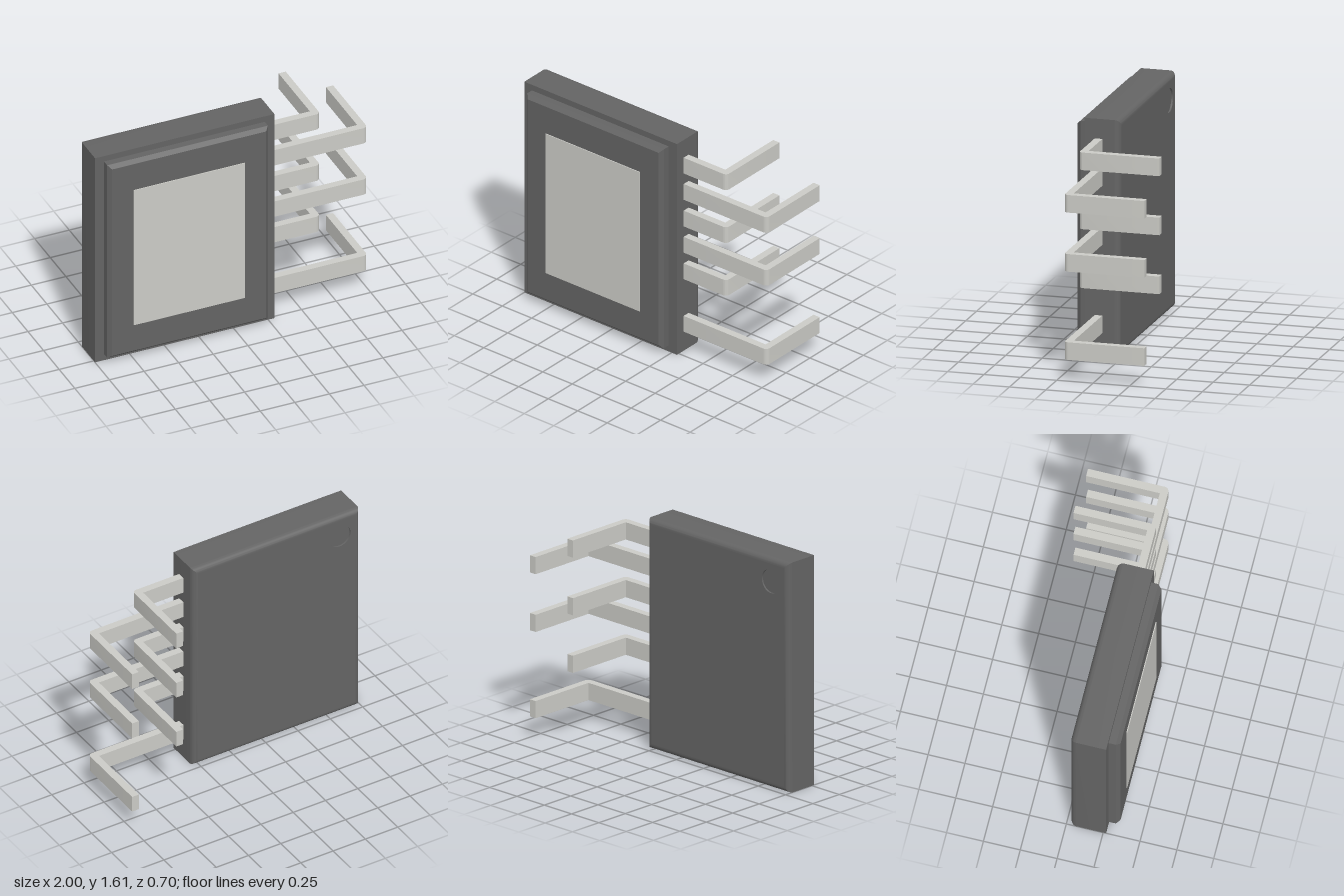
import * as THREE from 'three';
import { toCreasedNormals } from 'three/addons/utils/BufferGeometryUtils.js';

const plastic = new THREE.MeshStandardMaterial({ color: 0x646464 });
const plasticThin = new THREE.MeshStandardMaterial({ color: 0x646464, side: THREE.DoubleSide });
const metal = new THREE.MeshStandardMaterial({ color: 0xcbcbc6 });

// Block made of rectangular rings [inset, z], ordered front to back, with a front cap
function ringBlock(x0, x1, y0, y1, rings) {
  const pos = [];
  const idx = [0, 1, 2, 0, 2, 3];
  rings.forEach(([d, z], i) => {
    pos.push(x0 + d, y0 + d, z, x1 - d, y0 + d, z, x1 - d, y1 - d, z, x0 + d, y1 - d, z);
    if (i === rings.length - 1) return;
    for (let k = 0; k < 4; k++) {
      const a = i * 4 + k, b = i * 4 + (k + 1) % 4;
      idx.push(a, a + 4, b, b, a + 4, b + 4);
    }
  });
  const g = new THREE.BufferGeometry();
  g.setAttribute('position', new THREE.Float32BufferAttribute(pos, 3));
  g.setIndex(idx);
  return toCreasedNormals(g, 0.5);
}

// Bent pin: runs out along +x, then turns back towards -z
function leadGeometry(endX) {
  const t = 0.052, front = 0.2, back = -0.352, r = 0.03, height = 0.12;
  const s = new THREE.Shape();
  s.moveTo(0.25, -front);
  s.lineTo(endX - r, -front);
  s.absarc(endX - r, -front + r, r, -Math.PI / 2, 0, false);
  s.lineTo(endX, -back);
  s.lineTo(endX - t, -back);
  s.lineTo(endX - t, -front + t);
  s.lineTo(0.25, -front + t);
  s.closePath();
  const g = new THREE.ExtrudeGeometry(s, { depth: height, bevelEnabled: false, curveSegments: 6 });
  g.translate(0, 0, -height / 2);
  g.rotateX(-Math.PI / 2);
  return toCreasedNormals(g, 0.5);
}

export function createModel() {
  const group = new THREE.Group();
  const add = (name, geometry, material, x = 0, y = 0, z = 0) => {
    const m = new THREE.Mesh(geometry, material);
    m.name = name;
    m.position.set(x, y, z);
    group.add(m);
    return m;
  };

  const X0 = -1, X1 = 0.295, Y1 = 1.605, backZ = 0.027, r = 0.04;

  // Body with rounded rear edges
  const rings = [[0, 0.27]];
  for (let i = 0; i <= 8; i++) {
    const a = (i / 8) * Math.PI / 2;
    rings.push([r * (1 - Math.cos(a)), backZ + r * (1 - Math.sin(a))]);
  }
  add('body', ringBlock(X0, X1, 0, Y1, rings), plastic);

  // Rear face with the round marker recess (drawn mirrored, then turned to face -z)
  const markX = -0.84, markY = 1.445, markR = 0.083, markDepth = 0.012;
  const face = new THREE.Shape([
    new THREE.Vector2(-X1 + r, r), new THREE.Vector2(-X0 - r, r),
    new THREE.Vector2(-X0 - r, Y1 - r), new THREE.Vector2(-X1 + r, Y1 - r),
  ]);
  face.holes.push(new THREE.Path().absarc(-markX, markY, markR, 0, Math.PI * 2, true));
  add('rearFace', new THREE.ShapeGeometry(face, 24).rotateY(Math.PI), plastic, 0, 0, backZ);
  add('markerWall', new THREE.CylinderGeometry(markR, markR, markDepth, 48, 1, true).rotateX(Math.PI / 2),
    plasticThin, markX, markY, backZ + markDepth / 2);
  add('markerFloor', new THREE.CircleGeometry(markR, 48).rotateY(Math.PI), plastic,
    markX, markY, backZ + markDepth);

  // Raised front plateau with chamfered rim
  add('plateau', ringBlock(-0.935, 0.225, 0.048, 1.562, [[0.024, 0.346], [0, 0.32], [0, 0.265]]), plastic);

  // Exposed metal pad
  add('thermalPad', new THREE.BoxGeometry(0.8, 1.06, 0.03), metal, -0.355, 0.805, 0.337);

  // Alternating long and short leads, with one position left empty
  const longLead = leadGeometry(1), shortLead = leadGeometry(0.658);
  [0.205, null, 0.605, 0.807, 1.007, 1.21, 1.41].forEach((y, i) => {
    if (y === null) return;
    const isLong = i === 0 || i % 2 === 1;
    add((isLong ? 'longLead' : 'shortLead') + i, isLong ? longLead : shortLead, metal, 0, y, 0);
  });

  return group;
}
